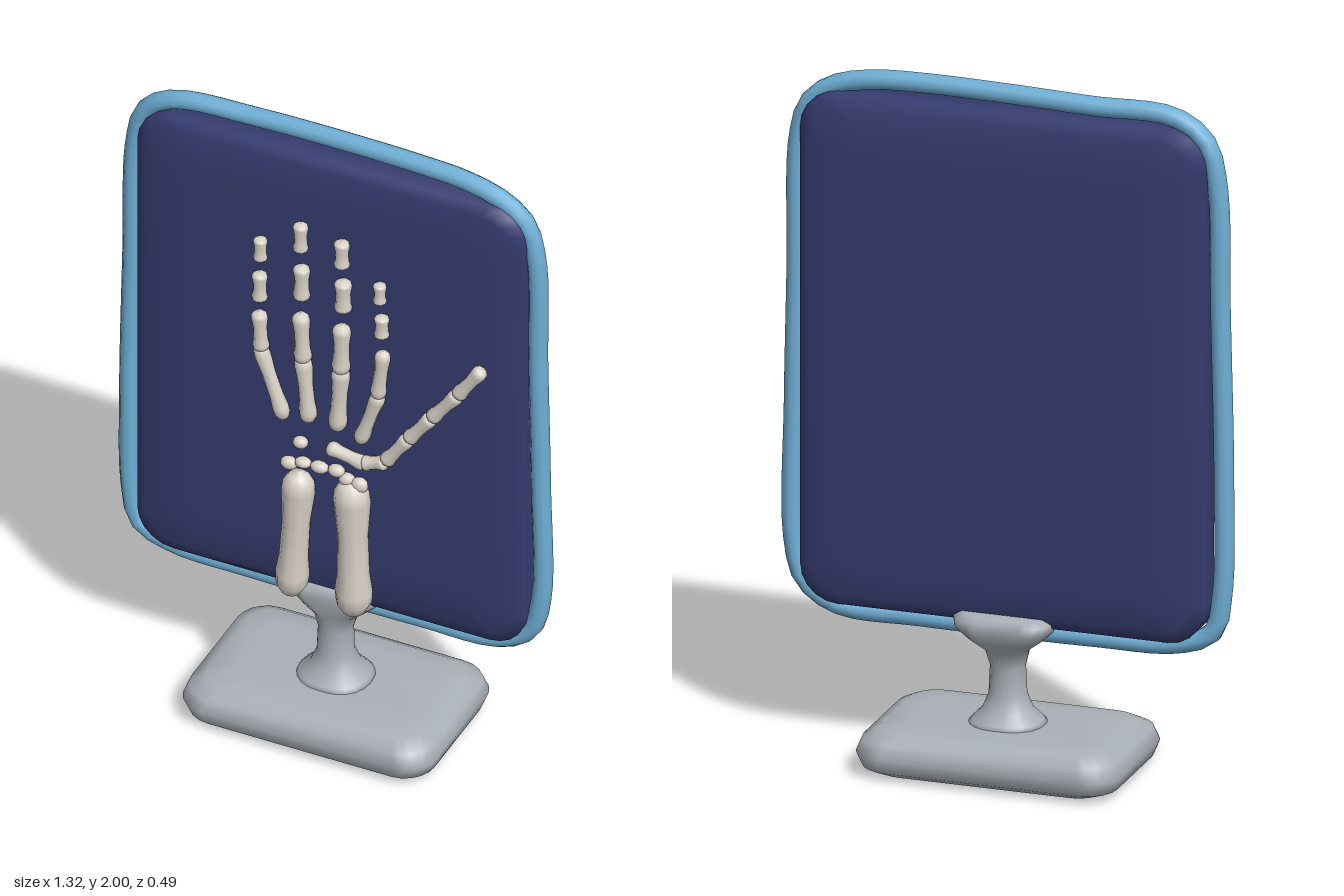
import * as THREE from 'three';

const mat = (name, color) => {
  const m = new THREE.MeshStandardMaterial({ color });
  m.name = name;
  return m;
};

// Rounded rectangle outline, counter-clockwise
function ring(hw, hh, r, n = 5) {
  const pts = [];
  for (let c = 0; c < 4; c++) {
    const sx = c === 0 || c === 3 ? 1 : -1, sy = c < 2 ? 1 : -1;
    for (let i = 0; i <= n; i++) {
      const a = (c + i / n) * Math.PI / 2;
      pts.push([sx * (hw - r) + r * Math.cos(a), sy * (hh - r) + r * Math.sin(a)]);
    }
  }
  return pts;
}

// Skin rounded rectangles stacked along z: each layer is [z, halfWidth, halfHeight, radius, yOffset]
function loft(layers) {
  const pos = [], idx = [];
  let n = 0;
  for (const [z, hw, hh, r, oy = 0] of layers) {
    const pts = ring(hw, hh, r);
    n = pts.length;
    for (const [x, y] of pts) pos.push(x, y + oy, z);
  }
  for (let i = 0; i < layers.length - 1; i++) {
    for (let j = 0; j < n; j++) {
      const k = (j + 1) % n, a = i * n + j, b = i * n + k;
      idx.push(a, b, b + n, a, b + n, a + n);
    }
  }
  const first = layers[0], last = layers[layers.length - 1];
  const c0 = layers.length * n, top = c0 - n;
  pos.push(0, first[4] || 0, first[0], 0, last[4] || 0, last[0]);
  for (let j = 0; j < n; j++) {
    const k = (j + 1) % n;
    idx.push(c0, k, j, c0 + 1, top + j, top + k);
  }
  const g = new THREE.BufferGeometry();
  g.setAttribute('position', new THREE.Float32BufferAttribute(pos, 3));
  g.setIndex(idx);
  g.computeVertexNormals();
  return g;
}

export function createModel() {
  const model = new THREE.Group();
  const navy = mat('navy panel', 0x363c70);
  const blue = mat('light blue frame', 0x6fafd6);
  const grey = mat('grey stand', 0xaab0b7);
  const ivory = mat('ivory bone', 0xd9d2c7);

  const add = (name, geo, material, parent = model) => {
    const m = new THREE.Mesh(geo, material);
    m.name = name;
    parent.add(m);
    return m;
  };

  // Pillow-edged screen panel
  const panel = add('panel', loft([
    [-0.065, 0.42, 0.58, 0.06], [-0.063, 0.49, 0.65, 0.08], [-0.053, 0.56, 0.715, 0.1],
    [-0.038, 0.592, 0.748, 0.11], [0.038, 0.592, 0.748, 0.11],
    [0.051, 0.56, 0.715, 0.1], [0.061, 0.49, 0.65, 0.08], [0.063, 0.42, 0.58, 0.06],
  ]), navy);
  panel.position.set(0.003, 1.18, 0);

  // Slightly uneven tube frame round the panel
  const path = [
    [-0.49, 1.957, 0], [-0.25, 1.967, -0.012], [0, 1.973, -0.01], [0.25, 1.973, -0.005],
    [0.4, 1.964, -0.003], [0.51, 1.935, 0], [0.58, 1.88, 0], [0.612, 1.77, 0],
    [0.618, 1.4, 0], [0.626, 1, 0], [0.628, 0.6, 0], [0.595, 0.48, 0], [0.5, 0.418, 0],
    [0.25, 0.41, 0], [-0.25, 0.41, 0], [-0.5, 0.42, 0], [-0.6, 0.465, 0], [-0.627, 0.58, 0],
    [-0.632, 0.9, 0], [-0.622, 1.4, 0], [-0.613, 1.77, 0], [-0.58, 1.895, 0],
  ].map((p) => new THREE.Vector3(...p)).reverse();
  add('frame', new THREE.TubeGeometry(new THREE.CatmullRomCurve3(path, true), 110, 0.028, 10, true), blue);

  // Stand: rounded foot, then neck flaring into the cradle
  const stand = new THREE.Group();
  stand.name = 'stand';
  model.add(stand);
  add('foot', loft([
    [0, 0.27, 0.15, 0.06], [0.005, 0.33, 0.2, 0.08], [0.025, 0.37, 0.235, 0.09],
    [0.065, 0.385, 0.245, 0.09], [0.105, 0.37, 0.235, 0.09],
    [0.128, 0.33, 0.2, 0.08], [0.135, 0.26, 0.14, 0.06],
  ]).rotateX(-Math.PI / 2), grey, stand);
  add('neckAndCradle', loft([
    [0.12, 0.12, 0.11, 0.1], [0.145, 0.1, 0.09, 0.085], [0.175, 0.07, 0.065, 0.06],
    [0.22, 0.053, 0.052, 0.05], [0.3, 0.049, 0.048, 0.045], [0.35, 0.062, 0.06, 0.055, 0.005],
    [0.385, 0.105, 0.08, 0.07, 0.015], [0.42, 0.142, 0.088, 0.075, 0.02],
    [0.445, 0.143, 0.088, 0.075, 0.02], [0.46, 0.12, 0.075, 0.065, 0.02],
  ]).rotateX(-Math.PI / 2), grey, stand);

  // Bone: lathe with knobbed ends, laid from point a to point b
  const skeleton = new THREE.Group();
  skeleton.name = 'handSkeleton';
  model.add(skeleton);
  const profile = [[0, 0], [0.6, 0.03], [0.95, 0.1], [1, 0.18], [0.85, 0.32],
    [0.82, 0.6], [1, 0.84], [0.92, 0.92], [0.6, 0.97], [0, 1]];
  const bone = (name, a, b, r, z = 0.08) => {
    const p = new THREE.Vector3(a[0], a[1], z), q = new THREE.Vector3(b[0], b[1], z);
    const dir = q.clone().sub(p), len = dir.length();
    const geo = new THREE.LatheGeometry(profile.map(([w, t]) => new THREE.Vector2(w * r, t * len)), 10);
    const m = add(name, geo, ivory, skeleton);
    m.position.copy(p);
    m.quaternion.setFromUnitVectors(new THREE.Vector3(0, 1, 0), dir.normalize());
  };

  // Four fingers: bent metacarpal chain, middle bone and tip
  const fingers = [
    { chain: [[-0.118, 1.025], [-0.19, 1.24], [-0.197, 1.375]], mid: [-0.195, 1.41, 1.51], tip: [-0.193, 1.55, 1.63], r: 0.024 },
    { chain: [[-0.044, 1.04], [-0.062, 1.24], [-0.07, 1.41]], mid: [-0.067, 1.455, 1.575], tip: [-0.07, 1.62, 1.72], r: 0.026 },
    { chain: [[0.042, 1.04], [0.053, 1.24], [0.056, 1.41]], mid: [0.06, 1.455, 1.565], tip: [0.056, 1.605, 1.7], r: 0.027 },
    { chain: [[0.11, 1.02], [0.165, 1.19], [0.183, 1.36]], mid: [0.178, 1.405, 1.48], tip: [0.172, 1.52, 1.59], r: 0.023 },
  ];
  const chainOf = (name, pts, r) => {
    for (let i = 0; i < pts.length - 1; i++) {
      // Overlap neighbouring bones a little at each joint
      const [a, b] = [pts[i], pts[i + 1]];
      const e = i < pts.length - 2 ? 1.12 : 1;
      bone(name, a, [a[0] + (b[0] - a[0]) * e, a[1] + (b[1] - a[1]) * e], r);
    }
  };
  for (const f of fingers) {
    chainOf('fingerBone', f.chain, f.r);
    bone('middleFingerBone', [f.mid[0], f.mid[1]], [f.mid[0], f.mid[2]], f.r * 0.95);
    bone('fingerTip', [f.tip[0], f.tip[1]], [f.tip[0], f.tip[2]], f.r * 0.85);
  }

  // Thumb, running from the wrist out to the side
  chainOf('thumbBone', [[0.01, 0.975], [0.12, 0.952], [0.185, 0.975], [0.255, 1.075],
    [0.325, 1.17], [0.405, 1.275], [0.487, 1.395]], 0.023);

  // Small wrist bones
  for (const [x, y, rx, ry] of [[-0.07, 0.962, 0.023, 0.018], [-0.105, 0.88, 0.026, 0.02],
    [-0.062, 0.895, 0.025, 0.016], [-0.012, 0.895, 0.028, 0.018], [0.04, 0.9, 0.026, 0.019],
    [0.072, 0.88, 0.025, 0.02], [0.11, 0.873, 0.026, 0.024]]) {
    const w = add('wristBone', new THREE.SphereGeometry(1, 10, 8), ivory, skeleton);
    w.scale.set(rx, ry, 0.02);
    w.position.set(x, y, 0.08);
  }

  // Two thick forearm bones
  bone('forearmBone', [-0.098, 0.43], [-0.072, 0.865], 0.048, 0.083);
  bone('forearmBone', [0.094, 0.42], [0.085, 0.885], 0.053, 0.08);

  return model;
}
